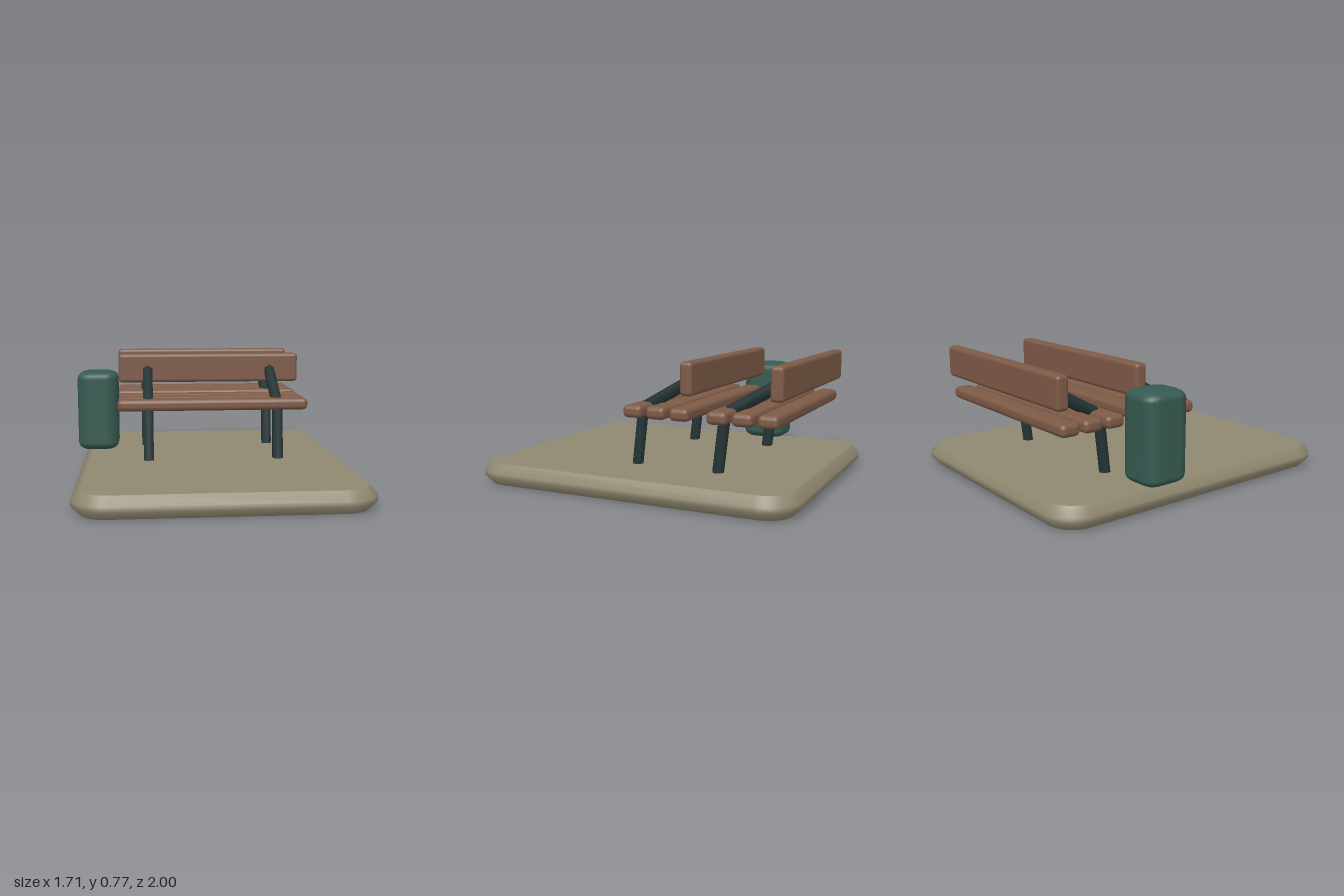
import * as THREE from 'three';
import { toCreasedNormals } from 'three/addons/utils/BufferGeometryUtils.js';
import { RoundedBoxGeometry } from 'three/addons/geometries/RoundedBoxGeometry.js';

const material = (name, color) => {
  const m = new THREE.MeshStandardMaterial({ color });
  m.name = name;
  return m;
};

const CENTRE_X = 0.016;

function add(parent, name, geometry, mat, x = 0, y = 0, z = 0) {
  const mesh = new THREE.Mesh(geometry, mat);
  mesh.name = name;
  mesh.position.set(x, y, z);
  parent.add(mesh);
  return mesh;
}

// Rounded slab with a bevelled rim, standing on y = 0
function slabGeometry(width, depth, height, radius, bevel) {
  const x = width / 2 - bevel, y = depth / 2 - bevel, r = radius;
  const shape = new THREE.Shape();
  shape.moveTo(-x + r, -y);
  shape.lineTo(x - r, -y);
  shape.absarc(x - r, -y + r, r, -Math.PI / 2, 0);
  shape.lineTo(x, y - r);
  shape.absarc(x - r, y - r, r, 0, Math.PI / 2);
  shape.lineTo(-x + r, y);
  shape.absarc(-x + r, y - r, r, Math.PI / 2, Math.PI);
  shape.lineTo(-x, -y + r);
  shape.absarc(-x + r, -y + r, r, Math.PI, Math.PI * 1.5);
  const geometry = new THREE.ExtrudeGeometry(shape, {
    depth: height - 0.1, bevelThickness: 0.05, bevelSize: bevel, bevelSegments: 1, curveSegments: 6,
  });
  geometry.translate(0, 0, 0.05);
  geometry.rotateX(-Math.PI / 2);
  return toCreasedNormals(geometry, Math.PI / 4);
}

// Six-sided bar between two points [y, z] in an upright plane
function bar(parent, name, mat, x, [y0, z0], [y1, z1]) {
  const length = Math.hypot(y1 - y0, z1 - z0);
  const geometry = new THREE.CylinderGeometry(0.036, 0.036, length, 6);
  const mesh = add(parent, name, geometry, mat, x, (y0 + y1) / 2, (z0 + z1) / 2);
  mesh.rotation.x = Math.atan2(z1 - z0, y1 - y0);
}

// Bench: three seat slats, one back board, and a bent support on each side
function bench(length, supportX, wood, metal) {
  const group = new THREE.Group();
  group.name = 'bench';
  for (const z of [0.025, -0.122, -0.268]) {
    add(group, 'seatSlat', new RoundedBoxGeometry(length, 0.074, 0.12, 2, 0.028), wood, 0, 0.472, z);
  }
  add(group, 'backBoard', new RoundedBoxGeometry(length, 0.19, 0.075, 2, 0.022), wood, 0, 0.675, -0.315);
  for (const side of [-1, 1]) {
    bar(group, 'leg', metal, side * supportX, [0.11, 0.09], [0.475, 0.047]);
    bar(group, 'backArm', metal, side * supportX, [0.467, 0.05], [0.673, -0.31]);
  }
  return group;
}

export function createModel() {
  const model = new THREE.Group();
  model.name = 'parkBenches';
  const stone = material('stone', 0x8f8870);
  const wood = material('wood', 0x7d5a47);
  const metal = material('darkMetal', 0x253536);
  const green = material('binGreen', 0x365a51);

  // Paved base
  add(model, 'base', slabGeometry(1.67, 2, 0.13, 0.15, 0.048), stone, CENTRE_X);

  // Two benches, one behind the other
  const front = bench(1.206, 0.41, wood, metal);
  front.position.x = CENTRE_X;
  const rear = bench(1.237, 0.421, wood, metal);
  rear.position.set(CENTRE_X, 0, -0.525);
  model.add(front, rear);

  // Litter bin, flattened rounding on top and bottom
  const binGeometry = new RoundedBoxGeometry(0.267, 0.84, 0.288, 2, 0.08);
  binGeometry.scale(1, 0.625, 1);
  add(model, 'litterBin', binGeometry, green, -0.724, 0.398, -0.333);

  return model;
}
